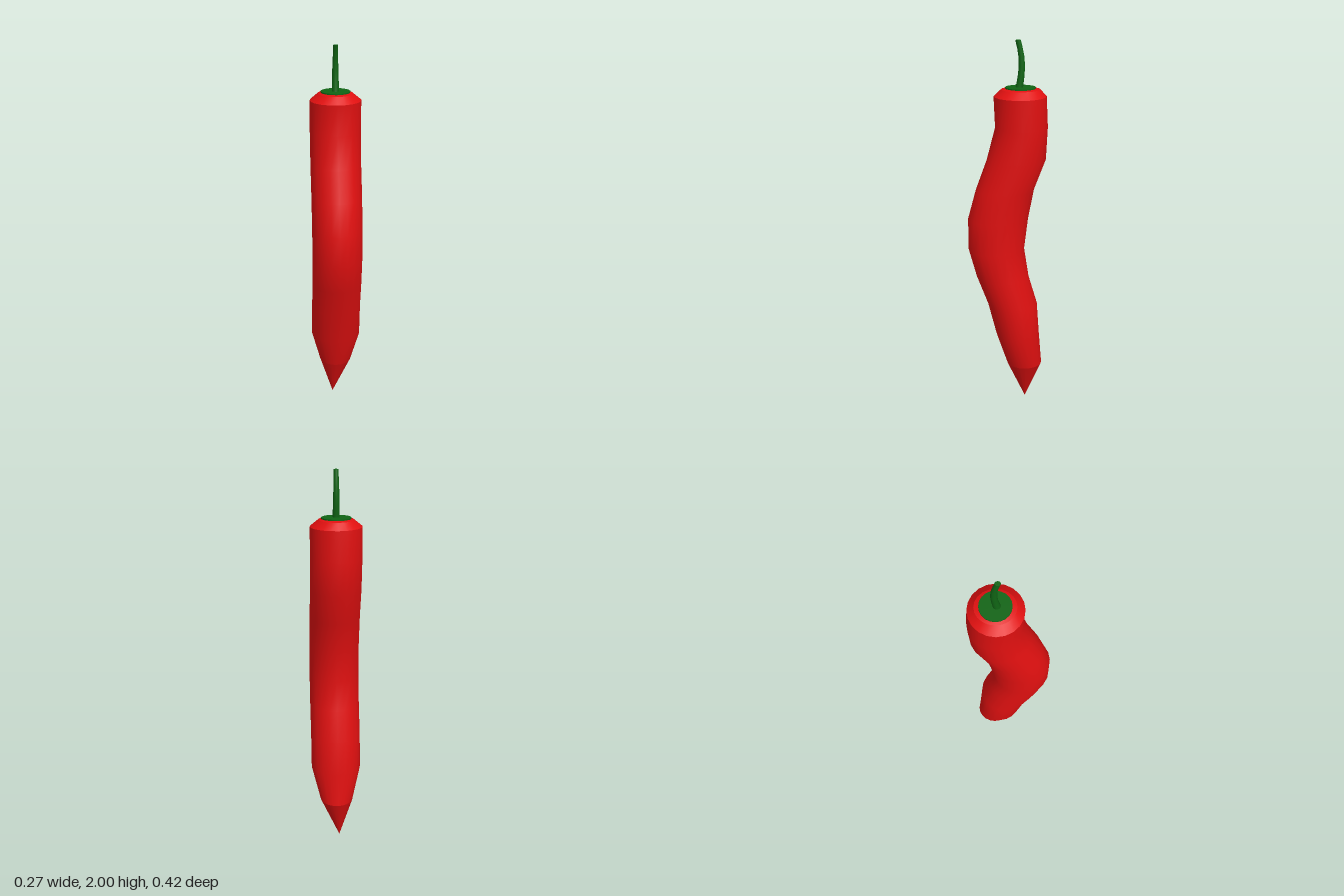
import * as THREE from 'three';

const SIDES = 20;

// Skin through horizontal elliptical rings, listed bottom to top: [y, centreZ, radiusX, radiusZ, centreX]
function loft(rings, sides = SIDES, cap = false) {
  const pos = [], index = [];
  for (const [y, z, rx, rz, x = 0] of rings) {
    for (let i = 0; i < sides; i++) {
      const a = (i / sides) * Math.PI * 2;
      pos.push(x + Math.sin(a) * rx, y, z + Math.cos(a) * rz);
    }
  }
  for (let r = 0; r < rings.length - 1; r++) {
    for (let i = 0; i < sides; i++) {
      const j = (i + 1) % sides;
      const a = r * sides + i, b = r * sides + j;
      index.push(a, b, b + sides, a, b + sides, a + sides);
    }
  }
  if (cap) {
    // Separate vertices keep the cap edge sharp
    const [y, z, rx, rz, x = 0] = rings[rings.length - 1];
    const start = pos.length / 3;
    pos.push(x, y, z);
    for (let i = 0; i < sides; i++) {
      const a = (i / sides) * Math.PI * 2;
      pos.push(x + Math.sin(a) * rx, y, z + Math.cos(a) * rz);
      index.push(start, start + 1 + i, start + 1 + ((i + 1) % sides));
    }
  }
  const g = new THREE.BufferGeometry();
  g.setAttribute('position', new THREE.Float32BufferAttribute(pos, 3));
  g.setIndex(index);
  g.computeVertexNormals();
  return g;
}

export function createModel() {
  const model = new THREE.Group();
  model.name = 'chilliPepper';
  const red = new THREE.MeshStandardMaterial({ color: 0xe01010 });
  const green = new THREE.MeshStandardMaterial({ color: 0x106414 });
  const add = (name, geometry, material) => {
    const mesh = new THREE.Mesh(geometry, material);
    mesh.name = name;
    model.add(mesh);
  };

  // Curved body: [y, front z, back z, radiusX]
  const profile = [
    [0.22, 0.0, -0.19, 0.087],
    [0.40, 0.06, -0.175, 0.133],
    [0.58, 0.105, -0.162, 0.133],
    [0.74, 0.165, -0.115, 0.133],
    [0.90, 0.208, -0.09, 0.133],
    [1.07, 0.208, -0.11, 0.133],
    [1.23, 0.165, -0.14, 0.133],
    [1.39, 0.107, -0.2, 0.133],
    [1.56, 0.063, -0.208, 0.133],
    [1.72, 0.07, -0.2, 0.133],
  ];
  const body = profile.map(([y, f, b, rx]) => [y, (f + b) / 2, rx, (f - b) / 2]);
  add('body', loft(body), red);

  // Pointed tip
  add('tip', loft([[0, -0.1, 0.001, 0.001, -0.015], body[0]]), red);

  // Bevelled shoulder and flat rim
  const shoulder = [1.755, -0.067, 0.09, 0.1];
  add('shoulder', loft([body[body.length - 1], shoulder]), red);
  add('rim', loft([shoulder, [1.76, -0.067, 0.075, 0.077]]), red);

  // Calyx disc
  add('calyx', loft([[1.75, -0.067, 0.076, 0.078], [1.766, -0.067, 0.076, 0.078]], SIDES, true), green);

  // Curved, tapering stem
  add('stem', loft([
    [1.76, -0.06, 0.018, 0.019],
    [1.82, -0.069, 0.017, 0.017],
    [1.87, -0.073, 0.016, 0.016],
    [1.92, -0.07, 0.014, 0.015],
    [1.96, -0.063, 0.013, 0.014],
    [2.0, -0.053, 0.012, 0.014],
  ], 12, true), green);

  return model;
}
